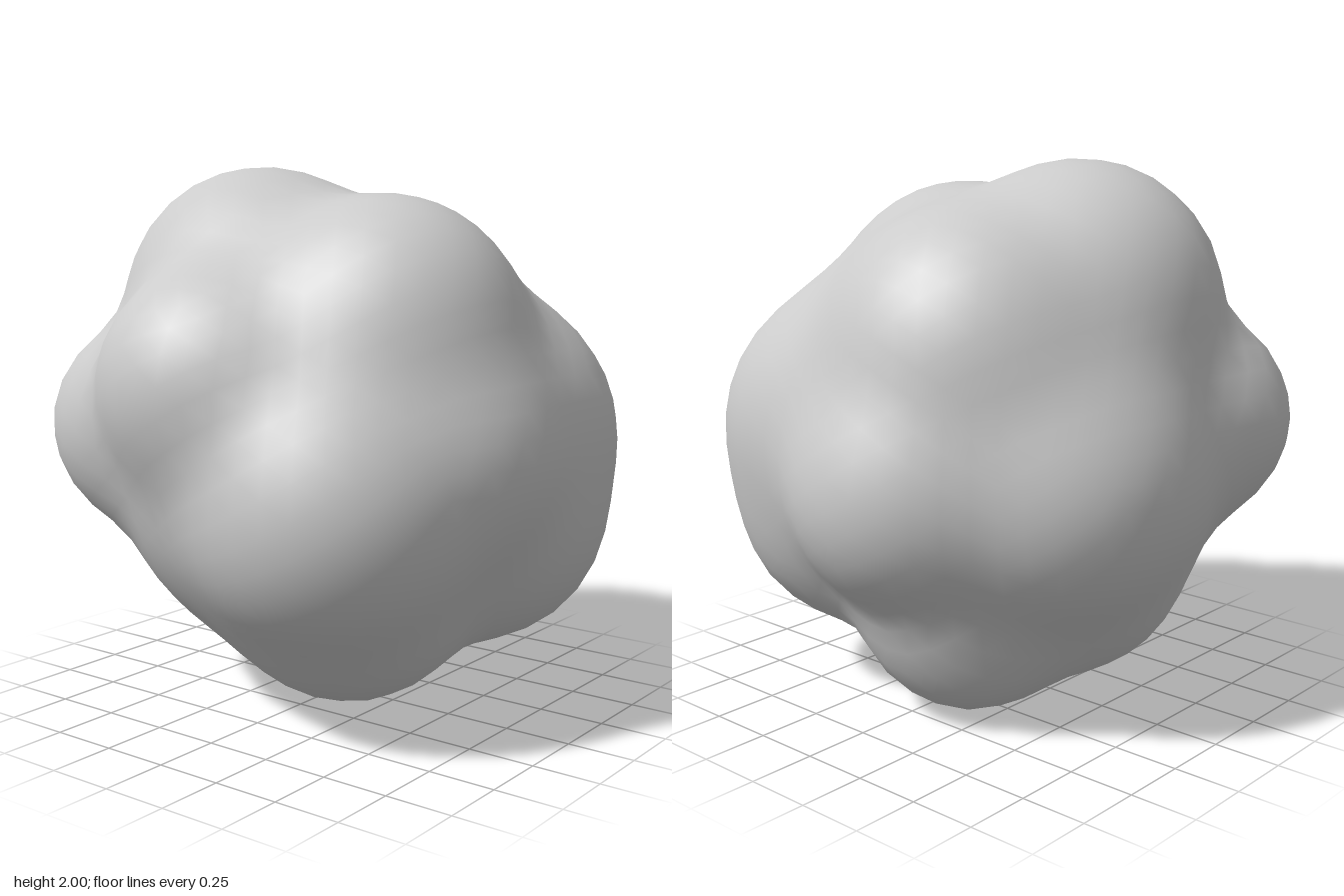
import * as THREE from 'three';
import { mergeVertices } from 'three/addons/utils/BufferGeometryUtils.js';

// Rounded lumps: centre x, y, z (y measured from the ground) and radius
const LUMPS = [
  [-0.29, 1.49, 0.10, 0.51],  // top right
  [0.32, 1.42, 0.13, 0.47],   // top left
  [-0.15, 1.36, -0.33, 0.49], // top back
  [-0.10, 1.24, 0.58, 0.41],  // front
  [0.30, 0.83, 0.43, 0.51],   // front left
  [-0.54, 1.05, 0.42, 0.39],  // front right
  [-0.43, 0.89, -0.19, 0.50], // right side
  [-0.33, 0.53, 0.00, 0.39],  // right side, low
  [0.51, 1.00, 0.10, 0.43],   // left side
  [0.42, 1.02, -0.33, 0.51],  // left back, high
  [0.43, 0.71, -0.30, 0.48],  // left back, low
  [-0.09, 0.41, -0.28, 0.41], // underside, back
  [0.20, 0.52, 0.20, 0.45],   // underside, front
  [-0.08, 0.89, -0.56, 0.43], // back
];
const CORE_RADIUS = 0.87;
const BLEND = 17;

// Distance from the middle to the blended outer surface along direction d
function surfaceRadius(d) {
  let sum = Math.exp(BLEND * (CORE_RADIUS - 1));
  for (const [x, y, z, r] of LUMPS) {
    const c = new THREE.Vector3(x, y - 1, z);
    const along = d.dot(c);
    const inside = r * r - c.lengthSq() + along * along;
    if (inside > 0) sum += Math.exp(BLEND * (along + Math.sqrt(inside) - 1));
  }
  return 1 + Math.log(sum) / BLEND;
}

export function createModel() {
  const group = new THREE.Group();
  group.name = 'lumpyBoulder';

  // Evenly divided ball with shared corners, so the normals come out smooth
  let geometry = new THREE.IcosahedronGeometry(1, 10);
  geometry.deleteAttribute('uv');
  geometry.deleteAttribute('normal');
  geometry = mergeVertices(geometry, 1e-4);

  const position = geometry.attributes.position;
  const d = new THREE.Vector3();
  for (let i = 0; i < position.count; i++) {
    d.fromBufferAttribute(position, i).normalize();
    d.multiplyScalar(surfaceRadius(d));
    position.setXYZ(i, d.x, d.y, d.z);
  }
  geometry.computeVertexNormals();

  // Centre and stand on the ground
  geometry.center();
  geometry.computeBoundingBox();
  geometry.translate(0, -geometry.boundingBox.min.y, 0);

  const body = new THREE.Mesh(geometry, new THREE.MeshStandardMaterial({ color: 0xcccccc }));
  body.name = 'boulder';
  group.add(body);
  return group;
}
